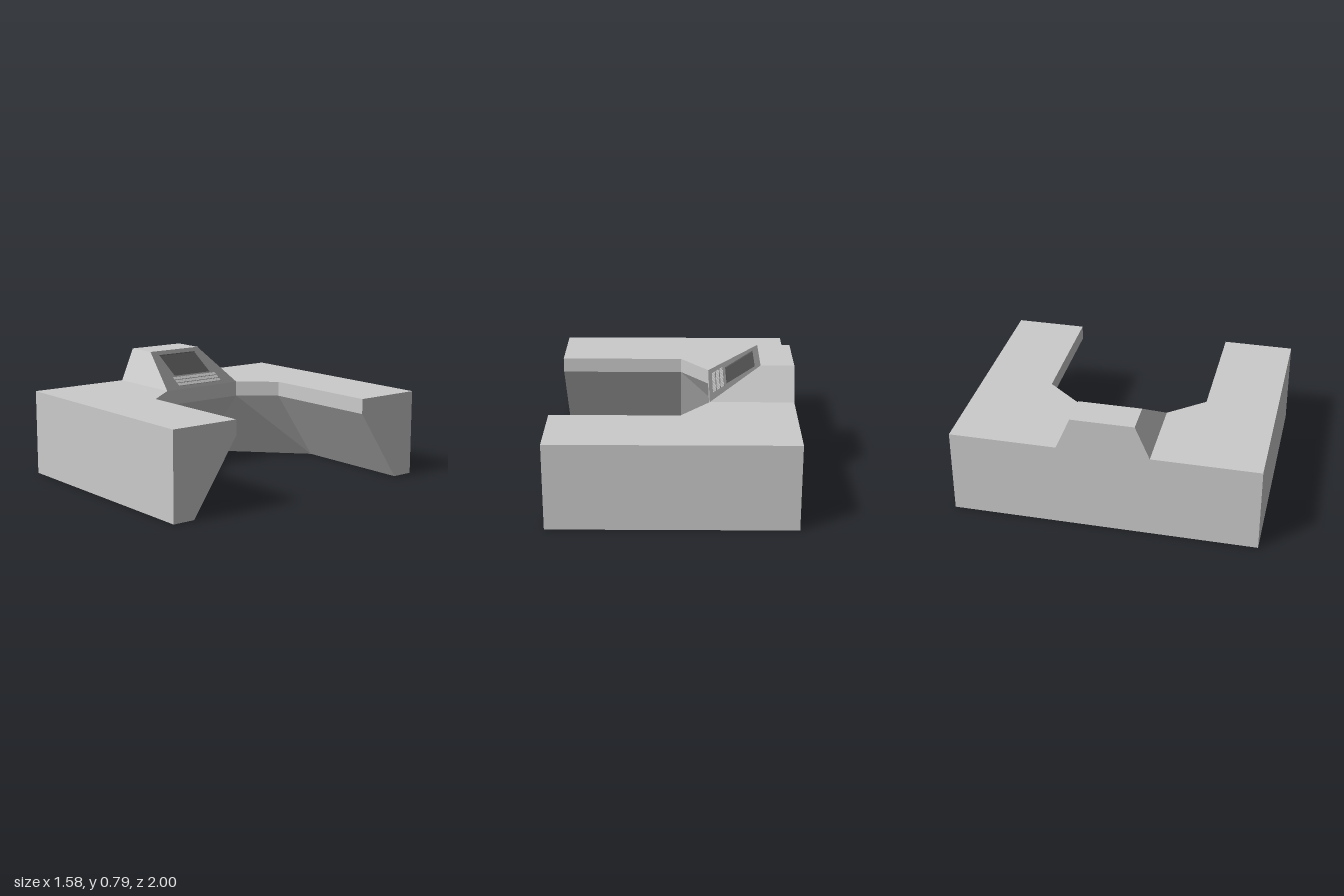
import * as THREE from 'three';

const grey = new THREE.MeshStandardMaterial({ color: 0xcccccc, flatShading: true });
const panelGrey = new THREE.MeshStandardMaterial({ color: 0x777777, flatShading: true });
const screenGrey = new THREE.MeshStandardMaterial({ color: 0x484848, flatShading: true });
const keyGrey = new THREE.MeshStandardMaterial({ color: 0xb0b0b0, flatShading: true });

// Flat-faced geometry from convex polygons, each a counter-clockwise list of [x, y, z].
function polygons(faces) {
  const pos = [];
  for (const f of faces)
    for (let i = 1; i < f.length - 1; i++) pos.push(...f[0], ...f[i], ...f[i + 1]);
  const g = new THREE.BufferGeometry();
  g.setAttribute('position', new THREE.Float32BufferAttribute(pos, 3));
  g.computeVertexNormals();
  return g;
}

function add(parent, name, geometry, material) {
  const mesh = new THREE.Mesh(geometry, material);
  mesh.name = name;
  parent.add(mesh);
  return mesh;
}

const DESK_Y = 0.57, LIP_Y = 0.47, TOP_Y = 0.79;
const BACK_X = -0.79, END_X = 0.79, EDGE_X = -0.24, CREST_X = -0.57;

// U-shaped desk: five-point cross-sections swept around the U
function deskGeometry() {
  // [outer x, outer z, inner top x, z, inner bottom x, z]
  const half = [
    [END_X, 1, END_X, 0.53, END_X, 0.85],
    [-0.05, 1, -0.05, 0.53, -0.05, 0.85],
    [BACK_X, 1, EDGE_X, 0.3, -0.64, 0.3],
  ];
  const mirrored = half.map(([ox, oz, ix, iz, bx, bz]) => [ox, -oz, ix, -iz, bx, -bz]).reverse();
  const rings = [...half, ...mirrored].map(([ox, oz, ix, iz, bx, bz]) => [
    [ox, DESK_Y, oz], [ix, DESK_Y, iz], [ix, LIP_Y, iz], [bx, 0, bz], [ox, 0, oz],
  ]);
  const faces = [[...rings[0]].reverse(), rings[rings.length - 1]];
  for (let i = 0; i < rings.length - 1; i++)
    for (let j = 0; j < 5; j++) {
      const k = (j + 1) % 5;
      faces.push([rings[i][j], rings[i][k], rings[i + 1][k], rings[i + 1][j]]);
    }
  return polygons(faces);
}

// Raised housing, open at the front where the control panel sits
function housingGeometry() {
  const side = (s) => [
    [BACK_X, DESK_Y, 0.3 * s], [EDGE_X, DESK_Y, 0.3 * s],
    [CREST_X, TOP_Y, 0.205 * s], [BACK_X, TOP_Y, 0.205 * s],
  ];
  const l = side(1), r = side(-1);
  return polygons([l, [...r].reverse(), [l[3], l[2], r[2], r[3]], [l[0], l[3], r[3], r[0]]]);
}

// Sloping control panel with a recessed screen and a keyboard
function controlPanel() {
  const group = new THREE.Group();
  group.name = 'controlPanel';
  const up = new THREE.Vector3(CREST_X - EDGE_X, TOP_Y - DESK_Y, 0);
  const height = up.length();
  up.normalize();
  const normal = new THREE.Vector3(up.y, -up.x, 0);
  group.applyMatrix4(new THREE.Matrix4()
    .makeBasis(new THREE.Vector3(0, 0, -1), up, normal)
    .setPosition(EDGE_X, DESK_Y, 0));

  const depth = 0.012, w = 0.155, y0 = 0.135, y1 = 0.355;
  const face = new THREE.Shape([[-0.3, 0], [0.3, 0], [0.205, height], [-0.205, height]]
    .map((p) => new THREE.Vector2(...p)));
  face.holes.push(new THREE.Path([[-w, y0], [-w, y1], [w, y1], [w, y0]]
    .map((p) => new THREE.Vector2(...p))));
  const plate = new THREE.ExtrudeGeometry(face, { depth, bevelEnabled: false });
  add(group, 'panelFace', plate.translate(0, 0, -depth), panelGrey);

  const screen = new THREE.PlaneGeometry(2 * w, y1 - y0);
  add(group, 'screen', screen, screenGrey).position.set(0, (y0 + y1) / 2, -depth * 0.6);

  // keyboard: three rows of square keys
  const keyboard = new THREE.Group();
  keyboard.name = 'keyboard';
  group.add(keyboard);
  const cols = 13, rows = 3, pitchX = 0.028, pitchY = 0.031;
  const key = new THREE.BoxGeometry(0.022, 0.025, 0.006);
  for (let r = 0; r < rows; r++)
    for (let c = 0; c < cols; c++)
      add(keyboard, 'key', key, keyGrey)
        .position.set((c - (cols - 1) / 2) * pitchX, 0.043 + r * pitchY, 0.002);
  return group;
}

export function createModel() {
  const model = new THREE.Group();
  model.name = 'consoleDesk';
  add(model, 'desk', deskGeometry(), grey);
  add(model, 'housing', housingGeometry(), grey);
  model.add(controlPanel());
  return model;
}
